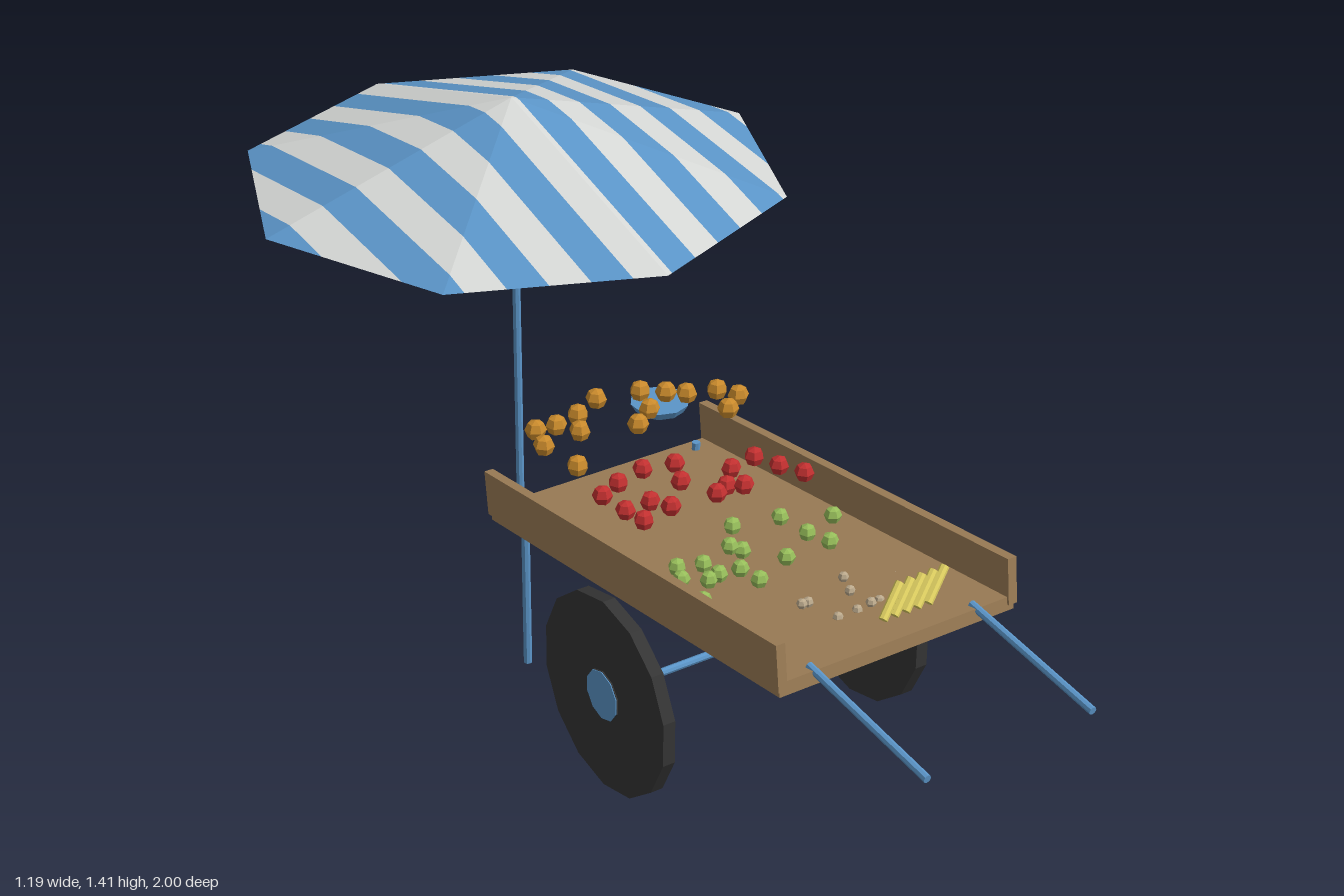
import * as THREE from 'three';

const mat = (name, color) => {
  const m = new THREE.MeshStandardMaterial({ color, flatShading: true });
  m.name = name;
  return m;
};

export function createModel() {
  const root = new THREE.Group();
  root.name = 'marketCart';
  const wood = mat('wood', 0x9c7d56);
  const blue = mat('blue paint', 0x5b95c8);
  const white = mat('canopy white', 0xd6d8d6);
  const rubber = mat('tyre black', 0x343434);
  const orange = mat('orange fruit', 0xc98a2c);
  const red = mat('red fruit', 0xc23030);
  const green = mat('green fruit', 0x96bd5a);
  const yellow = mat('banana yellow', 0xe0d162);
  const beige = mat('garlic beige', 0xbba98c);
  blue.side = white.side = THREE.DoubleSide;

  const add = (name, geo, material, x = 0, y = 0, z = 0, parent = root) => {
    const m = new THREE.Mesh(geo, material);
    m.name = name;
    m.position.set(x, y, z);
    parent.add(m);
    return m;
  };
  // straight rod between two points
  const rod = (name, a, b, r, material, parent = root) => {
    const p = new THREE.Vector3(...a), q = new THREE.Vector3(...b);
    const d = q.clone().sub(p);
    const m = add(name, new THREE.CylinderGeometry(r, r, d.length(), 8), material, 0, 0, 0, parent);
    m.position.copy(p).add(q).multiplyScalar(0.5);
    m.quaternion.setFromUnitVectors(new THREE.Vector3(0, 1, 0), d.normalize());
    return m;
  };

  // tilted bed: floor and two side boards
  const bed = new THREE.Group();
  bed.name = 'bed';
  bed.position.set(0.2375, 0.52, 0.09);
  bed.rotation.x = -0.126;
  root.add(bed);
  add('floor', new THREE.BoxGeometry(0.595, 0.031, 1.105), wood, 0, -0.051, 0, bed);
  for (const s of [-1, 1])
    add('sideBoard', new THREE.BoxGeometry(0.022, 0.105, 1.115), wood, s * 0.292, 0, 0, bed);

  // legs, handles, axle, umbrella pole
  for (const x of [0.003, 0.47]) rod('leg', [x, 0, -0.41], [x, 0.44, -0.41], 0.01, blue);
  for (const x of [0.03, 0.443]) rod('handle', [x, 0.505, 1], [x, 0.552, 0.62], 0.009, blue);
  rod('axle', [-0.1, 0.237, 0.09], [0.575, 0.237, 0.09], 0.009, blue);
  rod('umbrellaPole', [-0.008, 0.4, -0.41], [-0.008, 1.4, -0.41], 0.009, blue);

  // wheels with hubs and painted hub caps
  for (const x of [-0.098, 0.573]) {
    const wheel = new THREE.Group();
    wheel.name = 'wheel';
    wheel.position.set(x, 0.235, 0.09);
    wheel.rotation.z = Math.PI / 2;
    root.add(wheel);
    const disc = (name, r, w, n, m, y = 0) => {
      const g = new THREE.CylinderGeometry(r, r, w, n);
      g.rotateY(-Math.PI / 2);
      return add(name, g, m, 0, y, 0, wheel);
    };
    disc('tyre', 0.235, 0.03, 14, rubber);
    disc('hub', 0.06, 0.036, 10, rubber);
    for (const s of [-1, 1]) disc('hubCap', 0.059, 0.003, 10, blue, s * 0.0185);
  }

  // round tray behind the bed
  add('tray', new THREE.CylinderGeometry(0.07, 0.058, 0.02, 10), blue, 0.425, 0.514, -0.495);

  // striped octagonal canopy: each face is cut into bands along x
  const cut = (poly, edge, sign) => {
    const out = [];
    poly.forEach((p, i) => {
      const q = poly[(i + 1) % poly.length];
      const a = (p.x - edge) * sign, b = (q.x - edge) * sign;
      if (a >= 0) out.push(p);
      if (a * b < 0) out.push(p.clone().lerp(q, a / (a - b)));
    });
    return out;
  };
  const apex = new THREE.Vector3(-0.008, 1.41, -0.415);
  const rim = i => new THREE.Vector3(
    apex.x + 0.585 * Math.cos(i * Math.PI / 4), 1.237, apex.z + 0.585 * Math.sin(i * Math.PI / 4));
  const bands = [[], []];
  for (let k = 0; k < 16; k++) {
    const x0 = -0.615 + k * 0.0775;
    for (let i = 0; i < 8; i++) {
      const poly = cut(cut([apex, rim(i + 1), rim(i)], x0, 1), x0 + 0.0775, -1);
      for (let j = 1; j < poly.length - 1; j++)
        for (const p of [poly[0], poly[j], poly[j + 1]]) bands[k % 2].push(p.x, p.y, p.z);
    }
  }
  bands.forEach((pos, i) => {
    const g = new THREE.BufferGeometry();
    g.setAttribute('position', new THREE.Float32BufferAttribute(pos, 3));
    g.computeVertexNormals();
    add(i ? 'canopyWhiteStripes' : 'canopyBlueStripes', g, i ? white : blue);
  });

  // produce, lying on a plane that slopes down towards the front
  const scatter = (name, r, material, spots, lift = 0) => {
    const g = new THREE.SphereGeometry(r, 6, 4);
    spots.forEach(([x, z], i) => {
      const m = add(name, g, material, x, 0.572 - 0.13 * z + lift + (i % 3) * 0.006, z);
      m.rotation.y = i * 1.3;
    });
  };
  scatter('orange', 0.025, orange, [
    [0.03, -0.23], [0, -0.32], [0.01, -0.37], [0.07, -0.38], [0.13, -0.385], [0.195, -0.41],
    [0.235, -0.3], [0.285, -0.33], [0.3, -0.39], [0.4, -0.35], [0.445, -0.25], [0.49, -0.275],
    [0.47, -0.33], [0.1, -0.33], [0.35, -0.36]]);
  scatter('apple', 0.023, red, [
    [0.05, 0], [0.03, -0.04], [0.12, 0], [0.1, -0.05], [0.07, -0.13], [0.14, -0.14], [0.225, -0.14],
    [0.32, -0.06], [0.385, -0.065], [0.46, 0.02], [0.24, 0], [0.305, 0.01], [0.28, -0.02],
    [0.42, -0.02], [0.01, -0.1], [0.2, -0.08]]);
  scatter('lime', 0.02, green, [
    [0.08, 0.18], [0.085, 0.23], [0, 0.215], [0.01, 0.28], [0.02, 0.17], [0.155, 0.17], [0.14, 0.23],
    [0.15, 0.285], [0.2, 0.115], [0.18, 0.18], [0.245, 0.25], [0.355, 0.255], [0.34, 0.195],
    [0.315, 0.13], [0.415, 0.185], [0.06, 0.23]], -0.003);
  scatter('garlic', 0.012, beige, [
    [0.18, 0.415], [0.16, 0.42], [0.285, 0.395], [0.28, 0.425], [0.25, 0.49], [0.285, 0.49],
    [0.315, 0.48], [0.2, 0.49]], 0.022);
  scatter('lowGarlic', 0.016, beige, [
    [0.01, 0.53], [0.11, 0.47], [0.13, 0.43], [0.275, 0.44], [0.4, 0.52], [0.42, 0.4], [0.465, 0.48]], -0.024);

  // bananas
  for (let i = 0; i < 5; i++)
    rod('banana', [0.245 + i * 0.029, 0.562, 0.58], [0.305 + i * 0.029, 0.618, 0.555], 0.01, yellow);

  return root;
}
